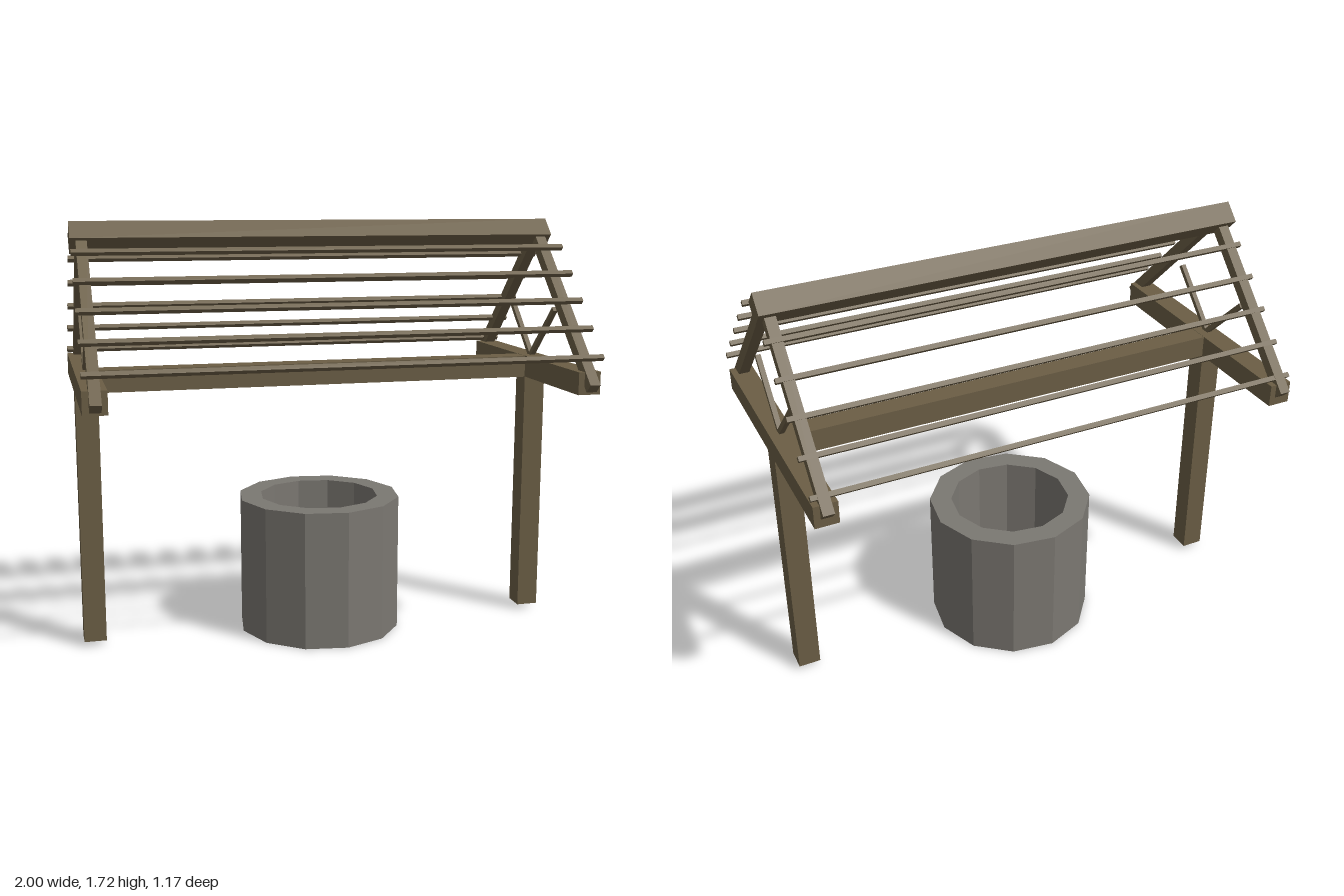
import * as THREE from 'three';

export function createModel() {
  const wood = new THREE.MeshStandardMaterial({ color: 0x6b5e45, flatShading: true });
  wood.name = 'weatheredWood';
  const stone = new THREE.MeshStandardMaterial({ color: 0x7b7872, flatShading: true });
  stone.name = 'greyStone';

  const model = new THREE.Group();
  model.name = 'well';
  const axisZ = -0.024; // line of the posts and ridge
  const endX = 0.953; // end frames at plus and minus this x

  const add = (parent, name, geometry, material, x, y, z) => {
    const mesh = new THREE.Mesh(geometry, material);
    mesh.name = name;
    mesh.position.set(x, y, z);
    parent.add(mesh);
    return mesh;
  };

  const box = (parent, name, w, h, d, x, y, z) =>
    add(parent, name, new THREE.BoxGeometry(w, h, d), wood, x, y, z);

  // Square timber in the y-z plane between two [z, y] points
  const strut = (parent, name, width, thick, from, to) => {
    const dz = to[0] - from[0], dy = to[1] - from[1];
    const mesh = box(parent, name, width, thick, Math.hypot(dz, dy),
      0, (from[1] + to[1]) / 2, (from[0] + to[0]) / 2);
    mesh.rotation.x = -Math.atan2(dy, dz);
  };

  // Hollow twelve-sided stone ring
  const profile = [[0.341, 0], [0.341, 0.57], [0.25, 0.57], [0.25, 0], [0.341, 0]]
    .map(([r, y]) => new THREE.Vector2(r, y));
  add(model, 'stoneRing', new THREE.LatheGeometry(profile, 12, 0.119), stone, 0.007, 0, -0.045);

  // End frames: post, crossbeam, rafters and braces
  for (const side of [-1, 1]) {
    const frame = new THREE.Group();
    frame.name = side > 0 ? 'leftFrame' : 'rightFrame';
    frame.position.x = side * endX;
    model.add(frame);
    box(frame, 'post', 0.09, 1.04, 0.09, 0, 0.54, axisZ);
    box(frame, 'crossbeam', 0.092, 0.09, 1.085, 0, 1.096, -0.005);
    strut(frame, 'frontRafter', 0.043, 0.045, [0.573, 1.08], [0.002, 1.647]);
    strut(frame, 'backRafter', 0.043, 0.045, [-0.566, 1.102], [-0.03, 1.64]);
    strut(frame, 'frontBrace', 0.02, 0.02, [axisZ, 1.135], [0.2, 1.357]);
    strut(frame, 'backBrace', 0.02, 0.02, [axisZ + 0.005, 1.135], [-0.243, 1.357]);
  }

  // Beam joining the frames, and the ridge turned on its edge
  box(model, 'tieBeam', 1.82, 0.09, 0.09, 0, 1.095, axisZ);
  box(model, 'ridgeBeam', 1.995, 0.09, 0.09, 0, 1.657, axisZ + 0.002).rotation.x = Math.PI / 4;

  // Thin roof battens on both slopes
  for (let i = 0; i < 5; i++) {
    const step = i * 0.1015;
    box(model, 'frontBatten', 2, 0.019, 0.019, 0, 1.198 + step * 1.008, 0.55 - step)
      .rotation.x = Math.PI / 4;
    box(model, 'backBatten', 2, 0.019, 0.019, 0, 1.161 + step * 1.008, -0.524 + step * 0.988)
      .rotation.x = Math.PI / 4;
  }

  return model;
}
